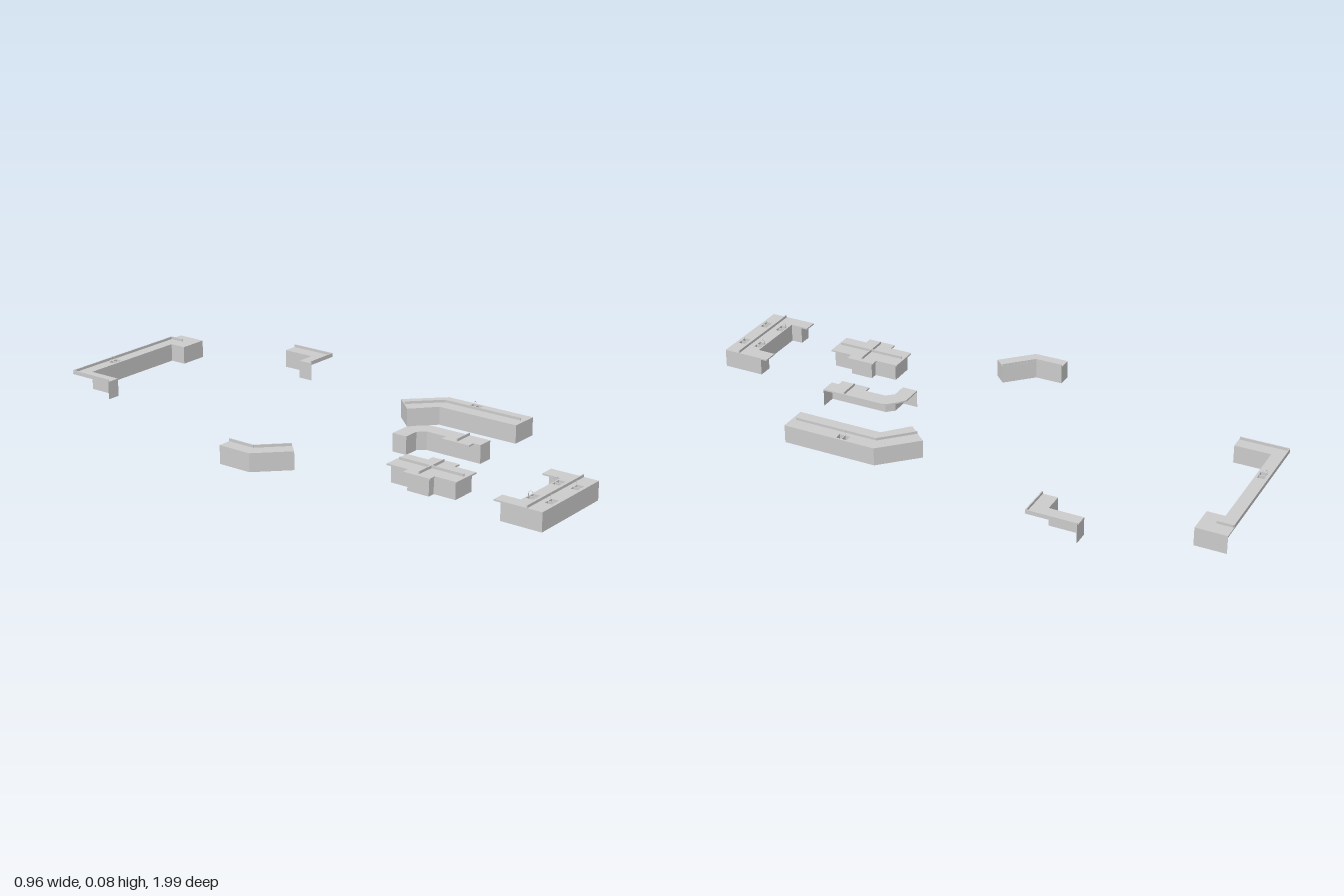
import * as THREE from 'three';

const TOP = 0.063, SLAB = 0.005, LIP = 0.072;
const grey = new THREE.MeshStandardMaterial({ color: 0xcccccc, flatShading: true });
const thin = new THREE.MeshStandardMaterial({ color: 0xcccccc, flatShading: true, side: THREE.DoubleSide });

function add(group, name, geometry, material = grey) {
  const m = new THREE.Mesh(geometry, material);
  m.name = name;
  group.add(m);
  return m;
}

// Upright thin panels along a floor path of [x, z]; they face right of travel seen from above
function panels(group, name, path, y0, y1) {
  const p = [];
  for (let i = 0; i + 1 < path.length; i++) {
    const [ax, az] = path[i], [bx, bz] = path[i + 1];
    p.push(ax, y0, az, bx, y0, bz, bx, y1, bz, ax, y0, az, bx, y1, bz, ax, y1, az);
  }
  const g = new THREE.BufferGeometry();
  g.setAttribute('position', new THREE.Float32BufferAttribute(p, 3));
  g.computeVertexNormals();
  add(group, name, g, thin);
}

// Thin slab following an outline, with cut-outs for sink bowls
function worktop(group, outline, sinks) {
  const pt = ([x, z]) => new THREE.Vector2(x, -z);
  const shape = new THREE.Shape(outline.map(pt));
  for (const s of sinks) for (const b of bowls(s)) shape.holes.push(new THREE.Path(b.map(pt)));
  const g = new THREE.ExtrudeGeometry(shape, { depth: SLAB, bevelEnabled: false });
  g.rotateX(-Math.PI / 2);
  add(group, 'worktop', g).position.y = TOP - SLAB;
}

// The two bowls of a sink, side by side along x, or along z when turned
function bowls({ x, z, turned }) {
  return [-0.0105, 0.0105].map((o) => {
    const cx = turned ? x : x + o, cz = turned ? z + o : z;
    const w = turned ? 0.012 : 0.009, d = turned ? 0.009 : 0.012;
    return [[cx - w, cz - d], [cx + w, cz - d], [cx + w, cz + d], [cx - w, cz + d]];
  });
}

function sink(group, s) {
  for (const b of bowls(s)) {
    panels(group, 'sinkBowlWall', [...b, b[0]], TOP - 0.018, TOP);
    const f = new THREE.PlaneGeometry(b[1][0] - b[0][0], b[2][1] - b[0][1]).rotateX(-Math.PI / 2);
    add(group, 'sinkBowlFloor', f, thin).position.set(
      (b[0][0] + b[1][0]) / 2, TOP - 0.018, (b[0][1] + b[2][1]) / 2);
  }
  // Arched tap reaching over the bowls in the direction s.tap
  const cx = Math.cos(s.tap), cz = Math.sin(s.tap);
  const pts = [[0, 0], [0, 0.014], [0.004, 0.019], [0.009, 0.018], [0.012, 0.013]];
  const curve = new THREE.CatmullRomCurve3(pts.map(([d, h]) =>
    new THREE.Vector3(s.x + (d - 0.014) * cx, TOP + h, s.z + (d - 0.014) * cz)));
  add(group, 'tap', new THREE.TubeGeometry(curve, 12, 0.0009, 6));
}

// Low raised strip between consecutive points
function lip(group, path) {
  for (let i = 0; i + 1 < path.length; i++) {
    const [ax, az] = path[i], [bx, bz] = path[i + 1];
    const g = new THREE.BoxGeometry(Math.hypot(bx - ax, bz - az), LIP - TOP + 0.001, 0.004);
    const m = add(group, 'raisedStrip', g);
    m.position.set((ax + bx) / 2, (LIP + TOP - 0.001) / 2, (az + bz) / 2);
    m.rotation.y = -Math.atan2(bz - az, bx - ax);
  }
}

// Door seams and drawer pulls, flat on one cabinet front
function fronts(group, a, b, n) {
  const dx = b[0] - a[0], dz = b[1] - a[1], w = Math.hypot(dx, dz) / n;
  const run = new THREE.Group();
  run.name = 'cabinetFronts';
  run.position.set(a[0], 0, a[1]);
  run.rotation.y = -Math.atan2(dz, dx);
  for (let i = 0; i < n; i++) {
    for (const y of [0.022, 0.036, 0.049]) {
      add(run, 'drawerPull', new THREE.PlaneGeometry(w * 0.25, 0.0015)).position.set((i + 0.5) * w, y, 0.001);
    }
    if (i) add(run, 'doorSeam', new THREE.PlaneGeometry(0.0012, 0.05)).position.set(i * w, 0.029, 0.0006);
  }
  group.add(run);
}

// One counter: top, carcass (closed round the outline unless walls are given), strips, sinks, fronts
function counter(name, { outline, walls = [...outline, outline[0]], sinks = [], lips = [], drawers = [] }) {
  const g = new THREE.Group();
  g.name = name;
  worktop(g, outline, sinks);
  panels(g, 'cabinetWalls', walls, 0, TOP - SLAB);
  sinks.forEach((s) => sink(g, s));
  lips.forEach((l) => lip(g, l));
  drawers.forEach(([a, b, n]) => fronts(g, a, b, n));
  return g;
}

function cross(inset) {
  const x0 = -0.313 + inset, x1 = -0.287 + inset, x2 = -0.181 - inset, x3 = -0.155 - inset;
  const z0 = 0.405 + inset, z1 = 0.485 + inset, z2 = 0.585 - inset, z3 = 0.665 - inset;
  return [[x1, z0], [x1, z1], [x0, z1], [x0, z2], [x1, z2], [x1, z3],
    [x2, z3], [x2, z2], [x3, z2], [x3, z1], [x2, z1], [x2, z0]];
}

function uShape(back) {
  return [[-0.333, back], [-0.333, 0.996], [-0.016, 0.996], [-0.016, back],
    [-0.067, back], [-0.067, 0.892], [-0.287, 0.892], [-0.287, back]];
}

export function createModel() {
  const model = new THREE.Group();
  model.name = 'counterSet';

  // Long wall counter, open along its back and its left outer side
  const wall = [[-0.235, -0.826], [-0.187, -0.826], [-0.187, -0.95],
    [0.225, -0.95], [0.225, -0.89], [0.328, -0.89], [0.328, -0.997]];
  model.add(counter('longWallCounter', {
    outline: [[-0.235, -0.997], ...wall], walls: wall,
    sinks: [{ x: -0.05, z: -0.97, tap: 0.9 }],
    lips: [[[-0.233, -0.828], [-0.233, -0.995], [0.275, -0.995], [0.275, -0.94]]],
    drawers: [[wall[2], wall[3], 9], [wall[4], wall[5], 2]],
  }));

  // Small corner counter, open on its two wall sides
  const corner = [[0.478, -0.573], [0.424, -0.573], [0.424, -0.455], [0.356, -0.455], [0.356, -0.4]];
  model.add(counter('cornerCounter', {
    outline: [...corner, [0.478, -0.4]], walls: corner,
    lips: [[[0.476, -0.573], [0.476, -0.402], [0.356, -0.402]]],
  }));

  // Angled counter with a raised inner edge
  const bent = [[-0.477, -0.108], [-0.477, 0.013], [-0.377, 0.113], [-0.34, 0.075], [-0.427, -0.012], [-0.427, -0.108]];
  model.add(counter('angledCounter', {
    outline: bent,
    lips: [[[-0.429, -0.108], [-0.429, -0.01], [-0.342, 0.076]]],
    drawers: [[bent[0], bent[1], 3], [bent[1], bent[2], 3]],
  }));

  // Hooked bar counter, open on its outer side
  const inner = [[-0.053, 0.256], [-0.053, 0.31], [0.002, 0.31], [0.025, 0.335]];
  model.add(counter('hookedCounter', {
    outline: [...inner, [0.025, 0.41], [0, 0.41], [0, 0.515], [0.025, 0.515], [0.025, 0.542],
      [0.08, 0.542], [0.08, 0.315], [0.068, 0.295], [0.045, 0.272], [0.022, 0.256]],
    walls: [...inner, [0.025, 0.542], [0.08, 0.542]],
    lips: [[[0.01, 0.463], [0.078, 0.463]]],
  }));

  // Double-sided angled counter
  const side = [[0.235, 0.08], [0.167, 0.155], [0.249, 0.228], [0.249, 0.53], [0.35, 0.53], [0.35, 0.197]];
  model.add(counter('doubleAngledCounter', {
    outline: side,
    sinks: [{ x: 0.331, z: 0.32, turned: true, tap: 0 }],
    lips: [[[0.3, 0.515], [0.3, 0.215], [0.202, 0.118]]],
    drawers: [[side[4], side[5], 5], [side[2], side[3], 5], [side[1], side[2], 2]],
  }));

  // Cross-shaped island with overhanging top
  model.add(counter('crossIsland', {
    outline: cross(0), walls: [...cross(0.01), cross(0.01)[0]],
    lips: [[[-0.234, 0.415], [-0.234, 0.655]], [[-0.3, 0.535], [-0.168, 0.535]]],
  }));

  // Front U-shaped counter; its top overhangs the ends of the wings
  const u = uShape(0.852);
  model.add(counter('frontCounter', {
    outline: uShape(0.828), walls: [...u, u[0]],
    sinks: [-0.246, -0.103].flatMap((x) => [
      { x, z: 0.909, tap: 0.8 }, { x, z: 0.973, tap: Math.PI - 0.8 }]),
    lips: [[[-0.331, 0.942], [-0.018, 0.942]]],
    drawers: [[u[1], u[2], 6], [u[5], u[6], 4]],
  }));

  return model;
}
